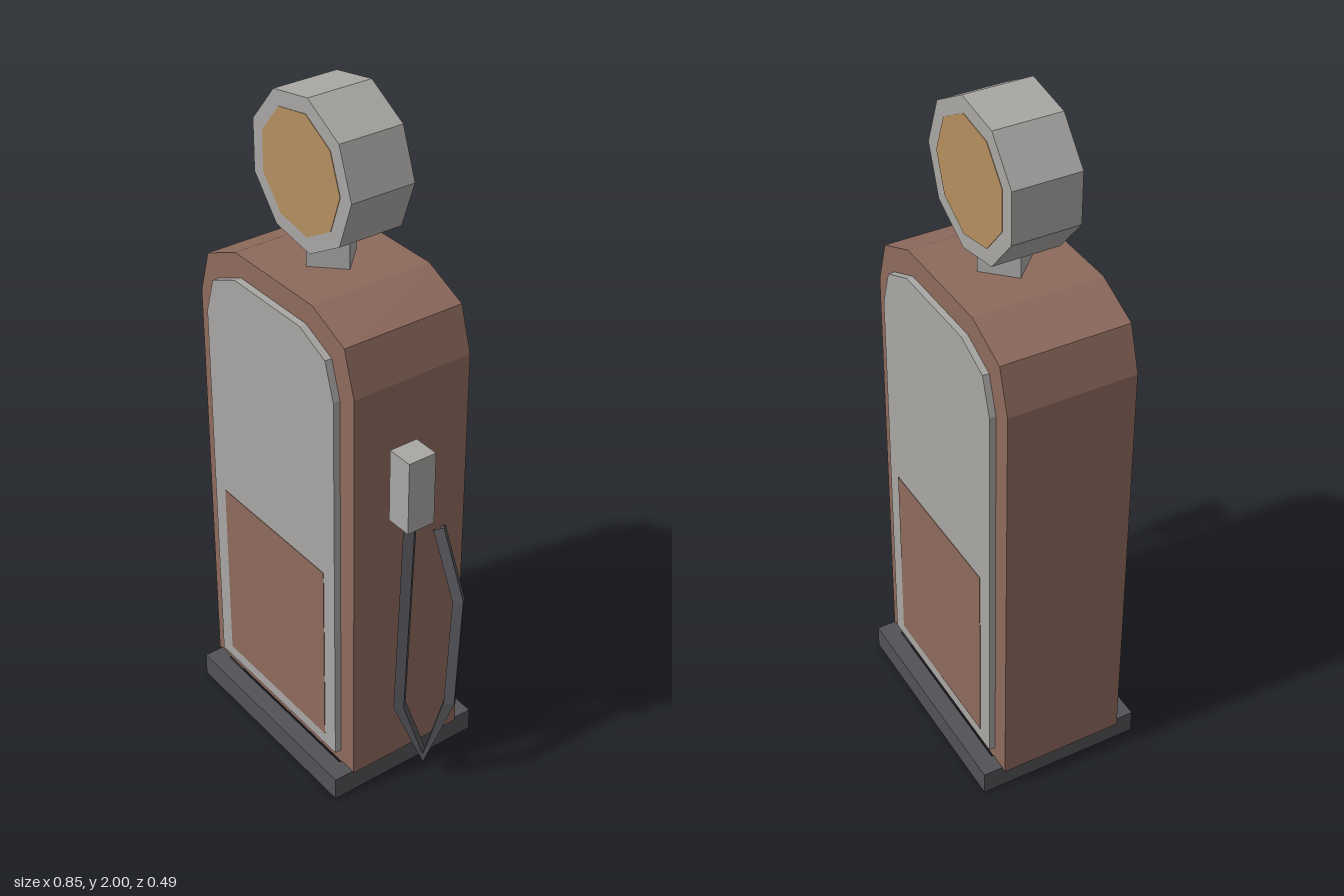
import * as THREE from 'three';

const mat = (name, color, side = THREE.FrontSide) => {
  const m = new THREE.MeshStandardMaterial({ color, side });
  m.name = name;
  m.flatShading = true;
  return m;
};

export function createModel() {
  const group = new THREE.Group();
  const brown = mat('dusty red paint', 0x8e6a5d);
  const grey = mat('pale metal', 0xa9a7a4);
  const amber = mat('amber glass', 0xb58f60);
  const dark = mat('dark rubber', 0x525257, THREE.DoubleSide);
  const CX = -0.081; // centre line of the cabinet

  const add = (name, geometry, material, x = 0, y = 0, z = 0) => {
    const mesh = new THREE.Mesh(geometry, material);
    mesh.name = name;
    mesh.position.set(x, y, z);
    group.add(mesh);
    return mesh;
  };

  // Extrudes a shape along z, centred on z = 0
  const slab = (shape, depth) =>
    new THREE.ExtrudeGeometry(shape, { depth, bevelEnabled: false }).translate(0, 0, -depth / 2);

  // Mirrored outline with a flat base and a faceted arch; half = right side [x, y] points
  const arch = (half) => new THREE.Shape([
    ...half.map(([x, y]) => new THREE.Vector2(x, y)),
    ...half.slice().reverse().map(([x, y]) => new THREE.Vector2(-x, y)),
  ]);

  // Base: an open rectangular frame
  const rect = (w, d) => [[-w, -d], [w, -d], [w, d], [-w, d]].map(([x, y]) => new THREE.Vector2(x, y));
  const frame = new THREE.Shape(rect(0.336, 0.245));
  frame.holes.push(new THREE.Path(rect(0.284, 0.193).reverse()));
  add('base', slab(frame, 0.072).rotateX(-Math.PI / 2), dark, -0.076, 0.036);

  // Cabinet and the raised panel on its front and back
  add('cabinet', slab(arch([[0.345, 0.068], [0.345, 1.33], [0.305, 1.46], [0.17, 1.52]]), 0.371),
    brown, CX, 0, -0.001);
  add('facePanel', slab(arch([[0.287, 0.113], [0.287, 1.3], [0.253, 1.407], [0.146, 1.455]]), 0.41),
    grey, CX - 0.001);

  // Neck and globe
  add('neck', new THREE.CylinderGeometry(0.08, 0.08, 0.11, 4), grey, CX, 1.57);
  const nonagon = (r, depth) =>
    new THREE.CylinderGeometry(r, r, depth, 9).rotateX(Math.PI / 2).rotateZ(Math.PI / 2);
  // Turn so that one corner points to +x
  const turn = (g) => {
    const p = g.attributes.position;
    let best = 0;
    for (let i = 0; i < p.count; i++) if (p.getX(i) > p.getX(best)) best = i;
    return g.rotateZ(-Math.atan2(p.getY(best), p.getX(best)));
  };
  add('globe', turn(nonagon(0.215, 0.194)), grey, -0.082, 1.788, -0.002);

  // Painted details on both faces
  for (const [side, s] of [['front', 1], ['back', -1]]) {
    add(side + 'LowerPanel', new THREE.BoxGeometry(0.475, 0.58, 0.004), brown, CX, 0.442, s * 0.2045);
    add(side + 'GlobeLens', turn(nonagon(0.17, 0.004)), amber, -0.082, 1.788, s * 0.0965 - 0.002);
  }

  // Hose: a square tube with one ring per path point
  const path = new THREE.CatmullRomCurve3([
    [0.272, 0.82, -0.097], [0.365, 0.63, -0.095], [0.402, 0.32, -0.045],
    [0.34, 0.088, -0.01], [0.289, 0.27, 0.042], [0.335, 0.95, 0.055],
  ].map((p) => new THREE.Vector3(...p)));
  path.getPointAt = path.getPoint;
  path.getTangentAt = path.getTangent;
  add('hose', new THREE.TubeGeometry(path, 5, 0.021, 4), dark);

  // Nozzle holder
  add('nozzle', new THREE.BoxGeometry(0.079, 0.22, 0.086), grey, 0.326, 1.045, 0.044);

  return group;
}
